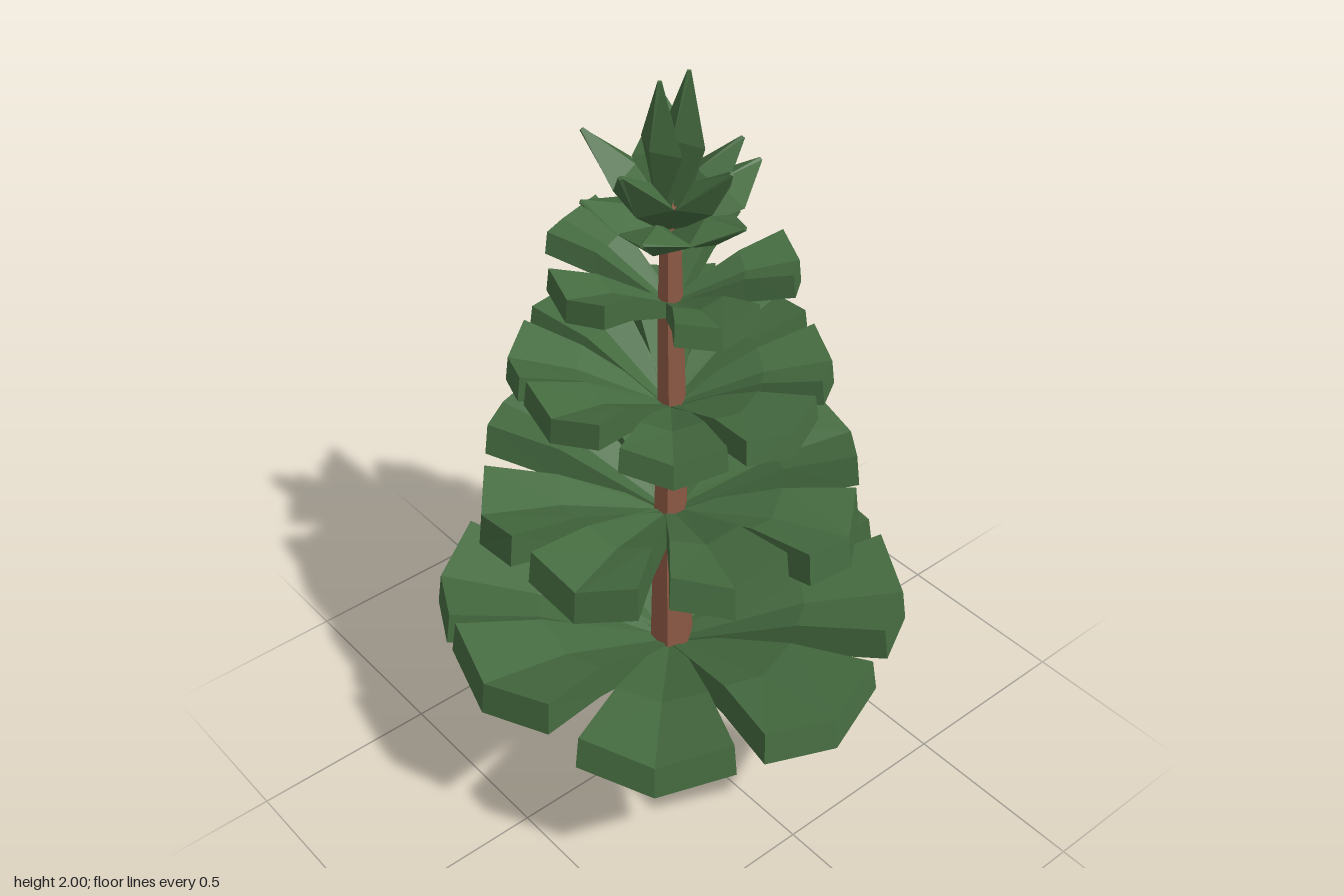
import * as THREE from 'three';

const green = new THREE.MeshStandardMaterial({ color: 0x456b40, flatShading: true });
const brown = new THREE.MeshStandardMaterial({ color: 0x8f5a45, flatShading: true });

// Joins equal rings of [x, y, z] points into a closed, flat-faced solid.
function loft(rings) {
  const n = rings[0].length;
  const out = [];
  const quad = (a, b, c, d) => out.push(...a, ...b, ...c, ...a, ...c, ...d);
  for (let i = 0; i < rings.length - 1; i++) {
    for (let j = 0; j < n; j++) {
      const k = (j + 1) % n;
      quad(rings[i][j], rings[i][k], rings[i + 1][k], rings[i + 1][j]);
    }
  }
  // End caps as strips of quads, so that a creased end keeps its crease
  const first = rings[0], last = rings[rings.length - 1];
  for (let j = 0; j < n / 2 - 1; j++) {
    quad(first[j], first[n - 1 - j], first[n - 2 - j], first[j + 1]);
    quad(last[j], last[j + 1], last[n - 2 - j], last[n - 1 - j]);
  }
  const geo = new THREE.BufferGeometry();
  geo.setAttribute('position', new THREE.Float32BufferAttribute(out, 3));
  geo.computeVertexNormals();
  return geo;
}

// Bough cross-section: three points below, three above, with raised sides.
// Counter-clockwise seen from the tip (+z).
const section = (half, z, sideZ, y, thick, lift) => [
  [-half, y + lift, sideZ], [0, y, z], [half, y + lift, sideZ],
  [half * 0.96, y + lift + thick, sideZ * 0.98], [0, y + thick, z * 0.98],
  [-half * 0.96, y + lift + thick, sideZ * 0.98],
];

// Fan-shaped bough along +z: narrow root, broad middle, blunt three-cornered end.
function boughGeometry(r, half, rise, thick) {
  return loft([
    section(0.018, 0.01, 0.01, 0, thick * 0.7, 0.005),
    section(half * 0.62, r * 0.58, r * 0.55, rise * 0.66, thick * 1.05, thick * 0.3),
    section(half, r, r * 0.91, rise, thick, thick * 0.4),
  ]);
}

// Pointed leaf of the crown along +y, with a diamond cross-section.
function leafGeometry(length, half, depth) {
  const ring = (w, d, y) => [[w, y, 0], [0, y, -d], [-w, y, 0], [0, y, d]];
  return loft([
    ring(0.015, 0.015, 0),
    ring(half, depth, length * 0.55),
    ring(0.006, 0.006, length),
  ]);
}

export function createModel() {
  const tree = new THREE.Group();
  tree.name = 'conifer';

  // Six-sided tapering trunk
  const levels = [[0, 0.076, 0.01], [0.35, 0.06, 0.005], [0.75, 0.046, 0],
    [1.1, 0.037, 0.005], [1.4, 0.032, 0], [1.68, 0.024, 0]];
  const trunk = new THREE.Mesh(loft(levels.map(([y, r, x]) =>
    Array.from({ length: 6 }, (_, i) => {
      const a = (i * Math.PI) / 3 + 0.15;
      return [x + r * Math.sin(a), y, r * Math.cos(a)];
    }))), brown);
  trunk.name = 'trunk';
  tree.add(trunk);

  // Tiers of boughs; dy varies the height of each bough's end
  const tiers = [
    { y: 0.29, r: 0.62, half: 0.195, rise: 0.14, thick: 0.09, turn: 0.02,
      dy: [-0.01, 0.03, 0.02, 0.01, 0.01, 0.02, 0.06, -0.02] },
    { y: 0.74, r: 0.495, half: 0.148, rise: 0.105, thick: 0.09, turn: Math.PI / 8,
      dy: [-0.04, 0.0, 0.03, 0.02, 0.04, -0.03, -0.03, 0.01] },
    { y: 1.09, r: 0.395, half: 0.125, rise: 0.1, thick: 0.065, turn: 0.1,
      dy: [-0.01, 0.0, 0.01, 0.03, 0.03, 0.02, 0.04, -0.01] },
    { y: 1.39, r: 0.305, half: 0.105, rise: 0.09, thick: 0.058, turn: 0.94,
      dy: [-0.01, 0.02, 0.02, 0.02, 0.0] },
  ];
  tiers.forEach((t, level) => {
    const tier = new THREE.Group();
    tier.name = `branchTier${level + 1}`;
    t.dy.forEach((dy, i) => {
      const bough = new THREE.Mesh(boughGeometry(t.r, t.half, t.rise + dy, t.thick), green);
      bough.name = 'bough';
      bough.position.y = t.y;
      bough.rotation.y = t.turn + (i * 2 * Math.PI) / t.dy.length;
      tier.add(bough);
    });
    tree.add(tier);
  });

  // Crown: a spreading ring, an upright ring and two top leaves
  const crown = new THREE.Group();
  crown.name = 'crown';
  const addLeaf = (name, y, turn, tilt, length, half, depth, out = 0) => {
    const leaf = new THREE.Mesh(leafGeometry(length, half, depth), green);
    leaf.name = name;
    leaf.rotation.set(tilt, turn, 0, 'YXZ');
    leaf.position.set(out * Math.sin(turn), y, out * Math.cos(turn));
    crown.add(leaf);
  };
  const step = (2 * Math.PI) / 5;
  for (let i = 0; i < 5; i++) {
    addLeaf('lowerLeaf', 1.61, 1.5 + i * step, 1.17, i === 0 ? 0.28 : 0.22, 0.09, 0.035);
    addLeaf('middleLeaf', 1.63, i * step, 0.74, i === 1 ? 0.26 : 0.3, 0.08, 0.042);
  }
  addLeaf('topLeaf', 1.65, Math.PI / 2, 0.08, 0.35, 0.07, 0.035, 0.025);
  addLeaf('topLeaf', 1.65, -Math.PI / 2, 0.03, 0.35, 0.07, 0.035, 0.02);
  tree.add(crown);

  return tree;
}
